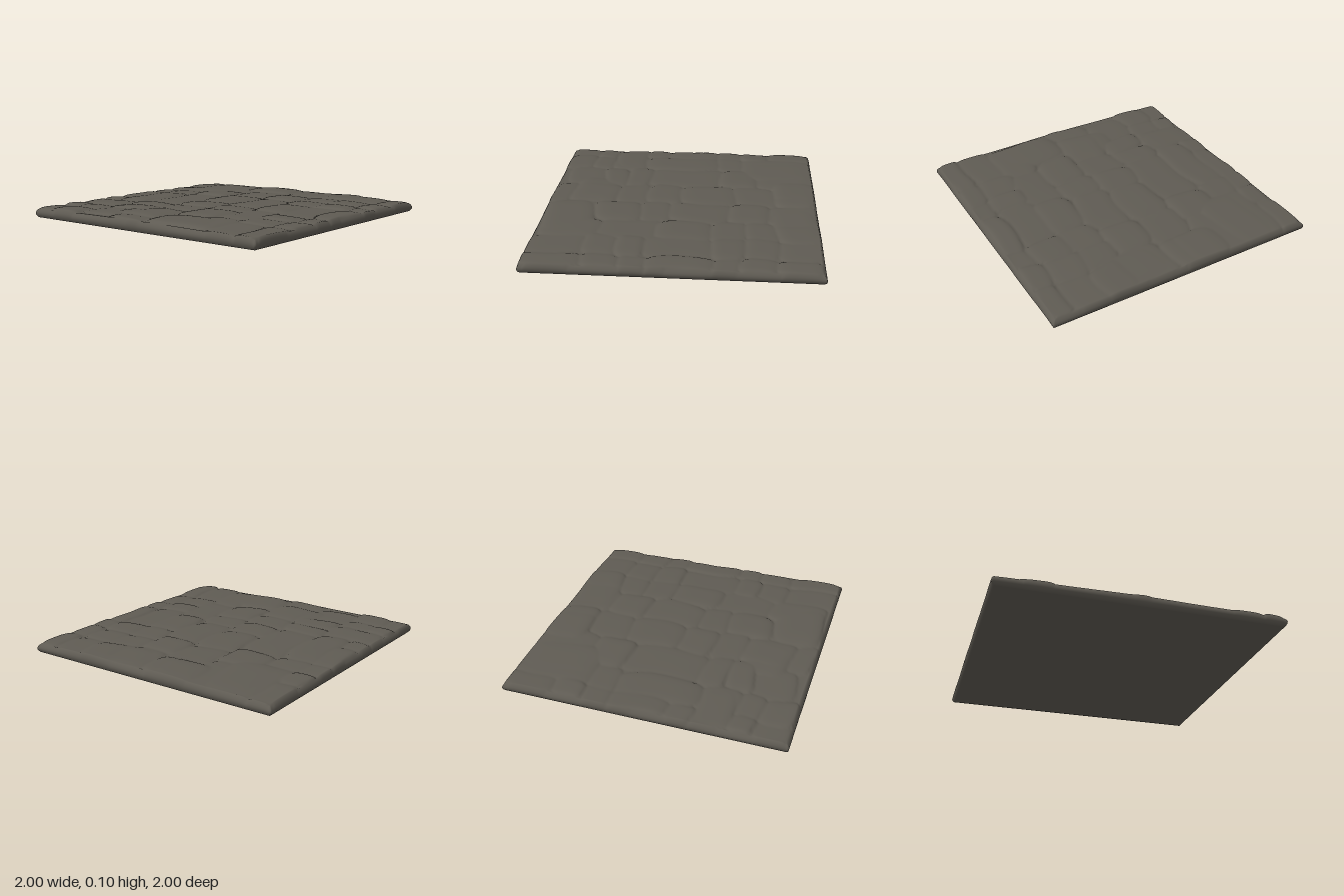
import * as THREE from 'three';
import { mergeVertices } from 'three/addons/utils/BufferGeometryUtils.js';

// Paving columns: left edge, right edge, then the z of each cross joint
const COLUMNS = [
  [-1, -0.82, [-1, -0.65, -0.44, -0.25, 0.15, 0.34, 0.6, 0.76, 1]],
  [-0.85, -0.59, [-1, -0.44, -0.24, 0.32, 0.59, 0.76, 1]],
  [-0.59, -0.27, [-1, -0.57, -0.28, 0.28, 0.46, 0.64, 0.92]],
  [-0.27, 0.04, [-1, -0.69, -0.39, 0, 0.25, 0.48, 0.83, 1]],
  [0.04, 0.33, [-1, -0.65, -0.36, 0.08, 0.29, 0.61, 0.97]],
  [0.33, 0.6, [-1, -0.7, -0.49, -0.25, 0.13, 0.55, 0.97]],
  [0.56, 0.83, [-1, -0.7, -0.47, -0.25, 0.2, 0.38, 0.6, 1]],
  [0.83, 1, [-1, -0.7, -0.45, -0.27, 0.18, 0.36, 0.6, 1]],
];

// Wide stones bridging the columns: left, right, back, front
const WIDE = [
  [-0.8, -0.43, -1, -0.44], [-0.38, -0.03, -1, -0.69], [0.06, 0.62, -1, -0.69],
  [0.06, 0.57, 0.63, 0.97], [-0.37, 0.05, 0.53, 0.83], [-1, -0.61, 0.34, 0.58],
];

const makeStone = (x0, x1, z0, z1, i, lift) => ({
  cx: (x0 + x1) / 2, cz: (z0 + z1) / 2,
  hx: (x1 - x0) * 0.535, hz: (z1 - z0) * 0.535,
  turn: 0.1 * Math.sin(i * 4.1),
  lift: lift + 0.004 * Math.sin(i * 2.4),
  lean: 0.12 * Math.sin(i * 1.7),
});

const stones = [
  ...COLUMNS.flatMap(([x0, x1, joints], c) => joints.slice(1).map((z1, r) =>
    makeStone(x0, x1, joints[r], z1, c * 9 + r, 0.015))),
  ...WIDE.map(([x0, x1, z0, z1], i) => makeStone(x0, x1, z0, z1, i, 0.018)),
];

// Height of the paved surface: each stone is a squarish dome, highest stone wins
function topHeight(x, z) {
  const px = x + 0.014 * Math.sin(11 * z + 2 * x);
  const pz = z + 0.014 * Math.sin(9 * x - 3 * z);
  let relief = 0;
  for (const { cx, cz, hx, hz, turn, lift, lean } of stones) {
    const c = Math.cos(turn), s = Math.sin(turn);
    const u = ((px - cx) * c - (pz - cz) * s) / hx;
    const v = ((px - cx) * s + (pz - cz) * c) / hz;
    const d = u ** 4 + v ** 4;
    if (d < 1) relief = Math.max(relief, lift * (1 + 0.2 * v + lean * u) * Math.sqrt(1 - d));
  }
  return 0.057 + 0.014 * (1 - x * x) + 0.004 * (1 - z * z) + relief;
}

// Closed slab with a paved top, rounded rim and flat underside
function slabGeometry() {
  const box = new THREE.BoxGeometry(2, 1, 2, 160, 6, 160);
  box.deleteAttribute('uv');
  box.deleteAttribute('normal');
  const geometry = mergeVertices(box, 1e-5);
  const p = geometry.attributes.position;
  for (let i = 0; i < p.count; i++) {
    const x = p.getX(i), z = p.getZ(i), t = p.getY(i) + 0.5;
    // Sides bulge at mid height; the pull-in fades towards the middle of the slab
    const pull = 0.015 * (2 * t - 1) ** 2 + 0.003 * (1 + Math.sin(7 * x + 5 * z)) * Math.max(0, 2 * t - 1);
    const inX = 1 - pull * Math.abs(x) ** 20;
    const inZ = 1 - pull * Math.abs(z) ** 20;
    const rim = Math.max(Math.abs(x), Math.abs(z)) ** 60;
    p.setXYZ(i, x * inX, t * (topHeight(x, z) + 0.004 * rim), z * inZ);
  }
  geometry.computeVertexNormals();
  return geometry;
}

export function createModel() {
  const stone = new THREE.MeshStandardMaterial({ color: 0x5f5b53 });
  stone.name = 'dark stone';
  const slab = new THREE.Mesh(slabGeometry(), stone);
  slab.name = 'cobbledSlab';
  const model = new THREE.Group();
  model.name = 'stoneFloorTile';
  model.add(slab);
  return model;
}
